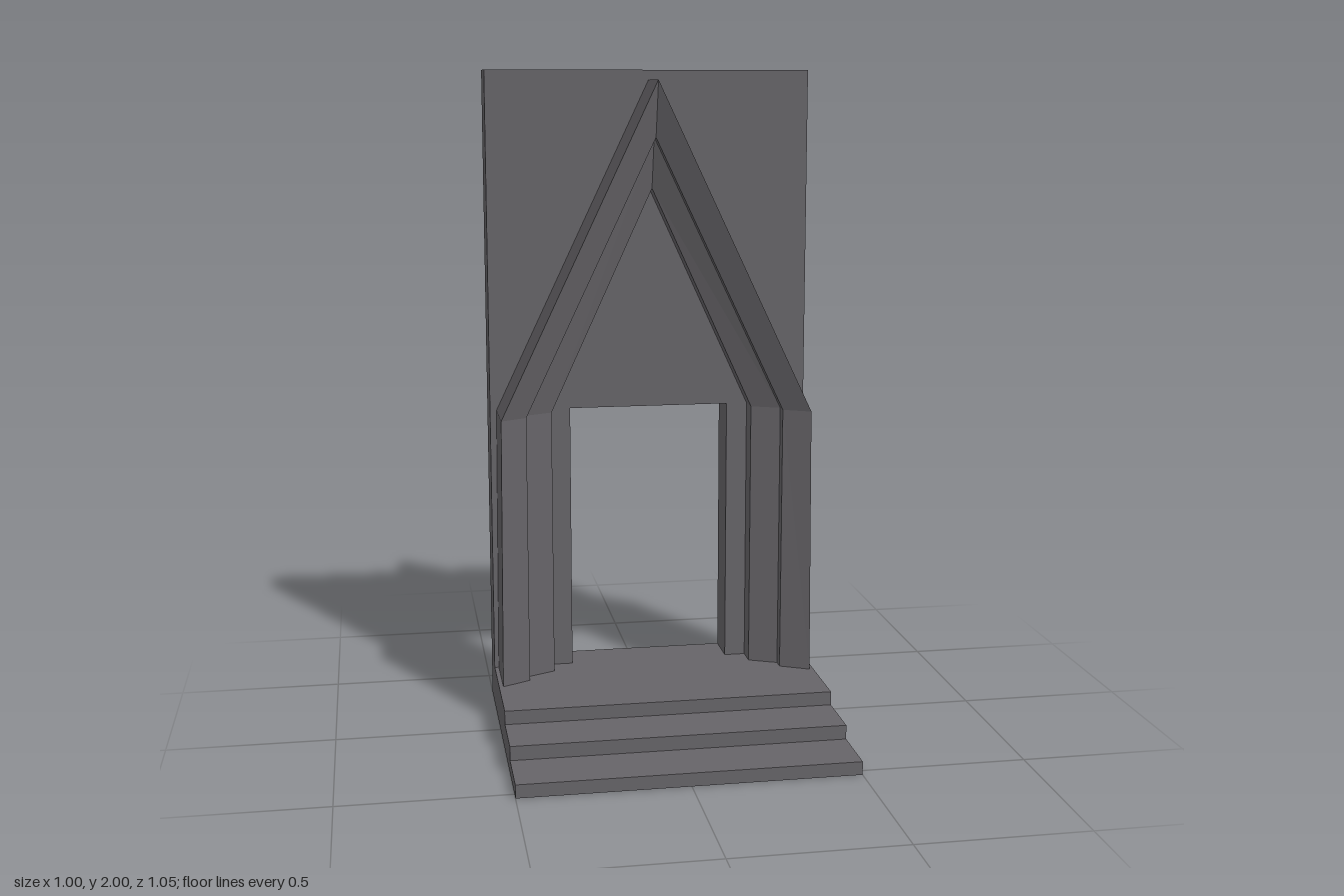
import * as THREE from 'three';

const WALL_Z = -0.28; // centre plane of the wall
const FLOOR = 0.125;  // top of the steps

// Stepped, splayed pointed surround swept over foot, spring, apex, spring, foot.
function surroundGeometry() {
  // cross-section rails: x at foot, x at spring, y at apex, z
  const rails = [
    [0.487, 0.48, 1.97, 0.06],
    [0.487, 0.48, 1.97, 0.245],
    [0.4, 0.4, 1.8, 0.2],
    [0.4, 0.4, 1.8, 0.165],
    [0.315, 0.315, 1.645, 0.125],
    [0.315, 0.315, 1.645, 0.06],
  ];
  const springY = 0.96;
  const stations = [
    ([f, , , z]) => [f, FLOOR, z],
    ([, s, , z]) => [s, springY, z],
    ([, , a, z]) => [0, a, z],
    ([, s, , z]) => [-s, springY, z],
    ([f, , , z]) => [-f, FLOOR, z],
  ].map((place) => rails.map(place));

  const pos = [];
  const tri = (a, b, c) => pos.push(...a, ...b, ...c);
  for (let i = 0; i < stations.length - 1; i++) {
    const p = stations[i], q = stations[i + 1];
    for (let j = 0; j < rails.length; j++) {
      const k = (j + 1) % rails.length;
      tri(p[j], q[j], q[k]);
      tri(p[j], q[k], p[k]);
    }
  }
  // undersides of the two feet
  const first = stations[0], last = stations[4];
  for (let j = 1; j < rails.length - 1; j++) {
    tri(first[0], first[j], first[j + 1]);
    tri(last[0], last[j + 1], last[j]);
  }
  const geo = new THREE.BufferGeometry();
  geo.setAttribute('position', new THREE.Float32BufferAttribute(pos, 3));
  geo.computeVertexNormals();
  return geo;
}

const outline = (points) => new THREE.Shape(points.map(([x, y]) => new THREE.Vector2(x, y)));

export function createModel() {
  const model = new THREE.Group();
  model.name = 'pointedDoorway';
  const stone = new THREE.MeshStandardMaterial({ color: 0x666468 });
  stone.name = 'darkGreyStone';

  const add = (name, geometry) => {
    const mesh = new THREE.Mesh(geometry, stone);
    mesh.name = name;
    model.add(mesh);
    return mesh;
  };

  // Steps: side profile (-z, y) extruded across the width
  const stepProfile = outline([
    [-0.53, 0], [0.34, 0], [0.34, FLOOR], [-0.178, FLOOR], [-0.178, 0.083],
    [-0.353, 0.083], [-0.353, 0.04], [-0.53, 0.04],
  ]);
  const steps = new THREE.ExtrudeGeometry(stepProfile, { depth: 1, bevelEnabled: false });
  steps.translate(0, 0, -0.5);
  steps.rotateY(Math.PI / 2);
  add('entranceSteps', steps);

  // Wall slab with a rectangular door opening
  const wallShape = outline([
    [-0.5, FLOOR], [-0.25, FLOOR], [-0.25, 0.96], [0.25, 0.96],
    [0.25, FLOOR], [0.5, FLOOR], [0.5, 2], [-0.5, 2],
  ]);
  const wall = new THREE.ExtrudeGeometry(wallShape, { depth: 0.12, bevelEnabled: false });
  wall.translate(0, 0, WALL_Z - 0.06);
  add('wall', wall);

  // Matching surrounds on both faces of the wall
  const surround = surroundGeometry();
  add('frontSurround', surround).position.z = WALL_Z;
  const back = add('backSurround', surround);
  back.position.z = WALL_Z;
  back.rotation.y = Math.PI;

  return model;
}
